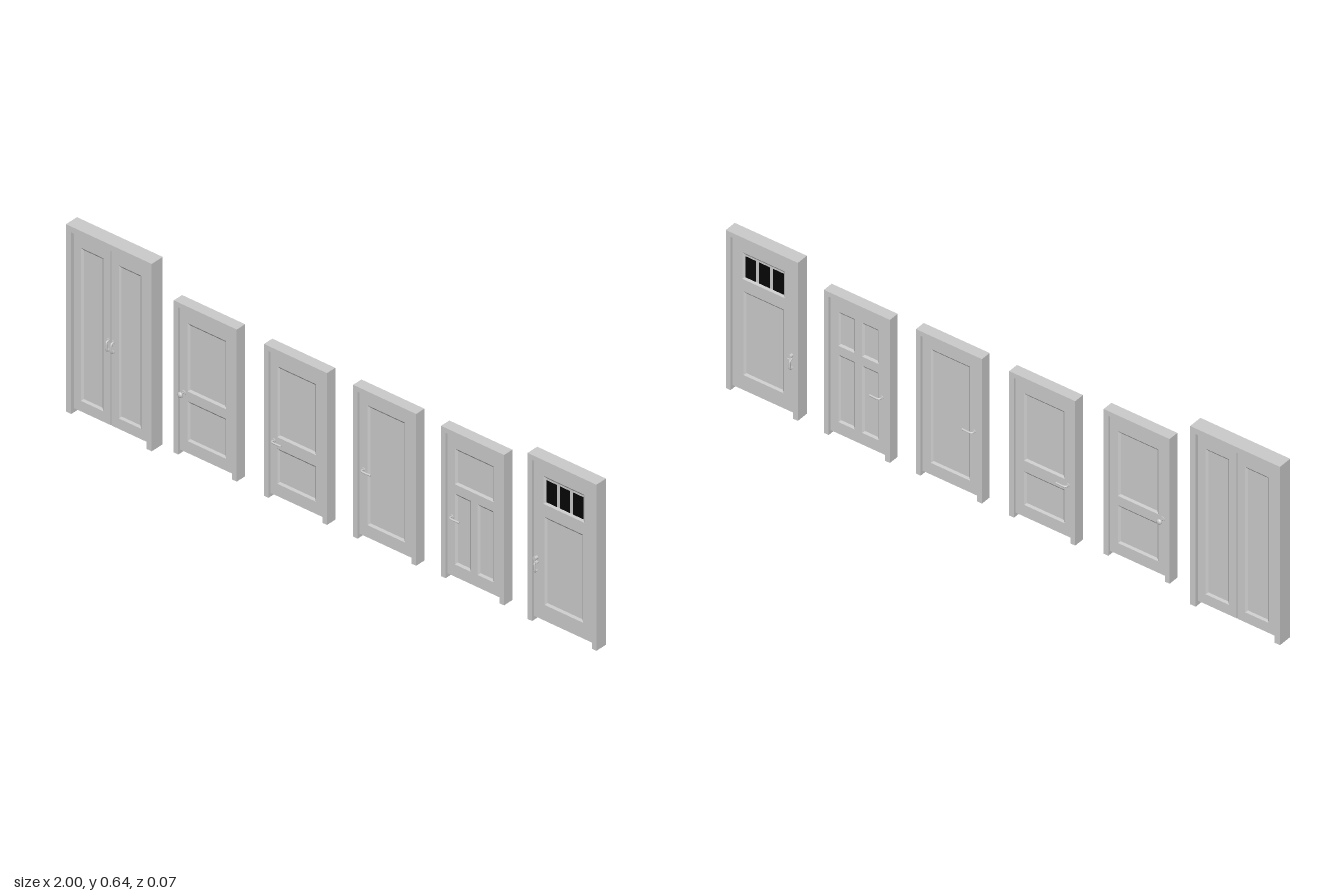
import * as THREE from 'three';

const grey = new THREE.MeshStandardMaterial({ color: 0xcccccc });
const black = new THREE.MeshStandardMaterial({ color: 0x050505 });

function add(parent, name, geometry, x = 0, y = 0, z = 0, material = grey) {
  const mesh = new THREE.Mesh(geometry, material);
  mesh.name = name;
  mesh.position.set(x, y, z);
  parent.add(mesh);
  return mesh;
}

// Box between two corners
function slab(parent, name, [x0, x1], [y0, y1], [z0, z1], material) {
  return add(parent, name, new THREE.BoxGeometry(x1 - x0, y1 - y0, z1 - z0),
    (x0 + x1) / 2, (y0 + y1) / 2, (z0 + z1) / 2, material);
}

function rectangle(path, [x0, x1, y0, y1]) {
  path.moveTo(x0, y0);
  path.lineTo(x1, y0);
  path.lineTo(x1, y1);
  path.lineTo(x0, y1);
  path.closePath();
  return path;
}

// Sloped moulding running around a sunken panel
function moulding([x0, x1, y0, y1], inset, zTop, zBottom) {
  const ring = (i, z) => [[x0 + i, y0 + i, z], [x1 - i, y0 + i, z], [x1 - i, y1 - i, z], [x0 + i, y1 - i, z]];
  const outer = ring(0, zTop), inner = ring(inset, zBottom), points = [];
  for (let i = 0; i < 4; i++) {
    const j = (i + 1) % 4;
    points.push(outer[i], outer[j], inner[j], outer[i], inner[j], inner[i]);
  }
  const geometry = new THREE.BufferGeometry();
  geometry.setAttribute('position', new THREE.Float32BufferAttribute(points.flat(), 3));
  geometry.computeVertexNormals();
  return geometry;
}

// One face of a leaf: stiles and rails around sunken panels
function leafFace(leaf, rect, panels, half, sink, back) {
  const face = new THREE.Group();
  face.name = back ? 'backFace' : 'frontFace';
  const shape = rectangle(new THREE.Shape(), rect);
  panels.forEach(p => shape.holes.push(rectangle(new THREE.Path(), p)));
  add(face, 'stilesAndRails', new THREE.ExtrudeGeometry(shape, { depth: sink, bevelEnabled: false }), 0, 0, half - sink);
  panels.forEach(p => add(face, 'panelMoulding', moulding(p, 0.007, half, half - sink + 0.0002)));
  if (back) face.rotation.y = Math.PI;
  leaf.add(face);
}

function makeLeaf(door, rect, panels, half, backPanels = panels) {
  const leaf = new THREE.Group(), sink = 0.005;
  leaf.name = 'leaf';
  const [x0, x1, y0, y1] = rect;
  const mirror = ([a, b, c, d]) => [-b, -a, c, d];
  slab(leaf, 'core', [x0, x1], [y0, y1], [sink - half, half - sink]);
  leafFace(leaf, rect, panels, half, sink, false);
  leafFace(leaf, mirror(rect), backPanels.map(mirror), half, sink, true);
  door.add(leaf);
}

// Jambs, head and the sloped stop under the head
function makeFrame(door, w, [y0, y1], half, jamb) {
  const frame = new THREE.Group();
  frame.name = 'frame';
  for (const s of [-1, 1])
    add(frame, 'jamb', new THREE.BoxGeometry(jamb, y1 - y0, half * 2), s * (w - jamb) / 2, (y0 + y1) / 2, 0);
  const inner = w - jamb * 2;
  slab(frame, 'head', [-inner / 2, inner / 2], [y1 - jamb, y1], [-half, half]);
  const profile = new THREE.Shape([[0, 0], [half * 0.85, 0], [half * 0.45, -0.009], [0, -0.009]]
    .map(([x, y]) => new THREE.Vector2(x, y)).reverse());
  const stop = add(frame, 'headStop', new THREE.ExtrudeGeometry(profile, { depth: inner, bevelEnabled: false }),
    inner / 2, y1 - jamb, 0);
  stop.rotation.y = -Math.PI / 2;
  door.add(frame);
}

// Handles are made on the +z face and turned for the back
function rose(group, r) {
  add(group, 'rose', new THREE.CylinderGeometry(r, r, 0.003, 20), 0, 0, 0.0015).rotation.x = Math.PI / 2;
}
const handles = {
  knob(group) {
    rose(group, 0.009);
    const profile = [[0.0035, 0], [0.0035, 0.009], [0.007, 0.011], [0.0095, 0.015], [0.0085, 0.019], [0.005, 0.0215], [0, 0.022]];
    add(group, 'knob', new THREE.LatheGeometry(profile.map(p => new THREE.Vector2(...p)), 20)).rotation.x = Math.PI / 2;
  },
  lever(group, dir) {
    rose(group, 0.0065);
    const path = new THREE.CatmullRomCurve3([[0, 0, 0], [0, 0, 0.009], [dir * 0.004, 0, 0.012], [dir * 0.034, 0, 0.012]]
      .map(p => new THREE.Vector3(...p)), false, 'centripetal');
    add(group, 'lever', new THREE.TubeGeometry(path, 24, 0.0032, 10));
    add(group, 'leverTip', new THREE.SphereGeometry(0.0032, 10, 8), dir * 0.034, 0, 0.012);
  },
  pull(group) {
    const path = new THREE.CatmullRomCurve3([[0, 0.017, 0], [0, 0.014, 0.009], [0, 0, 0.011], [0, -0.014, 0.009], [0, -0.017, 0]]
      .map(p => new THREE.Vector3(...p)));
    add(group, 'pull', new THREE.TubeGeometry(path, 24, 0.0035, 10));
    for (const y of [-0.017, 0.017])
      add(group, 'pullPlate', new THREE.BoxGeometry(0.01, 0.01, 0.002), 0, y, 0.001);
  },
  latch(group, dir) {
    handles.pull(group);
    const knob = add(group, 'thumbTurn', new THREE.CylinderGeometry(0.006, 0.006, 0.012, 16), 0, 0.03, 0.006);
    knob.rotation.x = Math.PI / 2;
    add(group, 'thumbLatch', new THREE.BoxGeometry(0.01, 0.004, 0.01), dir * 0.004, 0.017, 0.006);
  },
};

function addHandle(door, type, x, y, half, bothSides = true) {
  for (const s of bothSides ? [1, -1] : [1]) {
    const group = new THREE.Group();
    group.name = type + 'Handle';
    handles[type](group, s);
    group.position.set(x, y, s * half);
    if (s < 0) group.rotation.y = Math.PI;
    door.add(group);
  }
}

// Panel rectangles are [x0, x1, y0, y1] about the middle of each door
const doors = [
  { name: 'panelDoorWithKnob', x: -0.475, z: 0.001, w: 0.238, y: [0.03, 0.552], handle: ['knob', -0.088, 0.245],
    panels: [[-0.073, 0.073, 0.255, 0.489], [-0.073, 0.073, 0.085, 0.222]] },
  { name: 'panelDoorWithLever', x: -0.14, z: -0.006, w: 0.238, y: [0.019, 0.54], handle: ['lever', -0.088, 0.219],
    panels: [[-0.075, 0.071, 0.235, 0.478], [-0.075, 0.071, 0.075, 0.196]] },
  { name: 'singlePanelDoor', x: 0.195, z: -0.008, w: 0.238, y: [0.019, 0.54], handle: ['lever', -0.086, 0.26],
    panels: [[-0.071, 0.071, 0.075, 0.486]] },
  { name: 'threePanelDoor', x: 0.523, z: -0.013, w: 0.238, y: [0.019, 0.535], handle: ['lever', -0.084, 0.235],
    panels: [[-0.073, 0.073, 0.35, 0.473], [-0.073, -0.013, 0.075, 0.318], [0.013, 0.073, 0.075, 0.318]],
    backPanels: [[-0.073, -0.013, 0.35, 0.473], [0.013, 0.073, 0.35, 0.473],
      [-0.073, -0.013, 0.075, 0.318], [0.013, 0.073, 0.075, 0.318]] },
  { name: 'glazedDoor', x: 0.868, z: -0.0075, w: 0.26, y: [0.017, 0.587], depth: 0.043, handle: ['latch', -0.102, 0.207],
    panels: [[-0.077, 0.077, 0.43, 0.526], [-0.073, 0.073, 0.085, 0.387]], glazed: true },
];

export function createModel() {
  const model = new THREE.Group();
  model.name = 'doors';

  // Tall double door
  const double = new THREE.Group(), half = 0.0145;
  double.name = 'doubleDoor';
  double.position.set(-0.838, 0, -0.0035);
  makeFrame(double, 0.324, [0, 0.643], 0.0245, 0.02);
  for (const s of [-1, 1]) {
    const span = (a, b) => s < 0 ? [-b, -a] : [a, b];
    makeLeaf(double, [...span(0.0015, 0.141), 0.016, 0.622], [[...span(0.029, 0.114), 0.052, 0.577]], half);
    addHandle(double, 'pull', s * 0.009, 0.288, half, false);
  }
  model.add(double);

  // Single doors
  for (const d of doors) {
    const door = new THREE.Group(), depth = d.depth ?? 0.037, jamb = 0.017, leafHalf = depth * 0.3;
    door.name = d.name;
    door.position.set(d.x, 0, d.z);
    makeFrame(door, d.w, d.y, depth / 2, jamb);
    const edge = d.w / 2 - jamb - 0.0005;
    makeLeaf(door, [-edge, edge, d.y[0] + 0.014, d.y[1] - jamb], d.panels, leafHalf, d.backPanels);
    addHandle(door, d.handle[0], d.handle[1], d.handle[2], leafHalf);
    // Three dark panes showing on both faces
    if (d.glazed) for (const i of [-1, 0, 1])
      slab(door, 'pane', [i * 0.05 - 0.019, i * 0.05 + 0.019], [0.437, 0.512], [-leafHalf + 0.004, leafHalf - 0.004], black);
    model.add(door);
  }
  return model;
}
